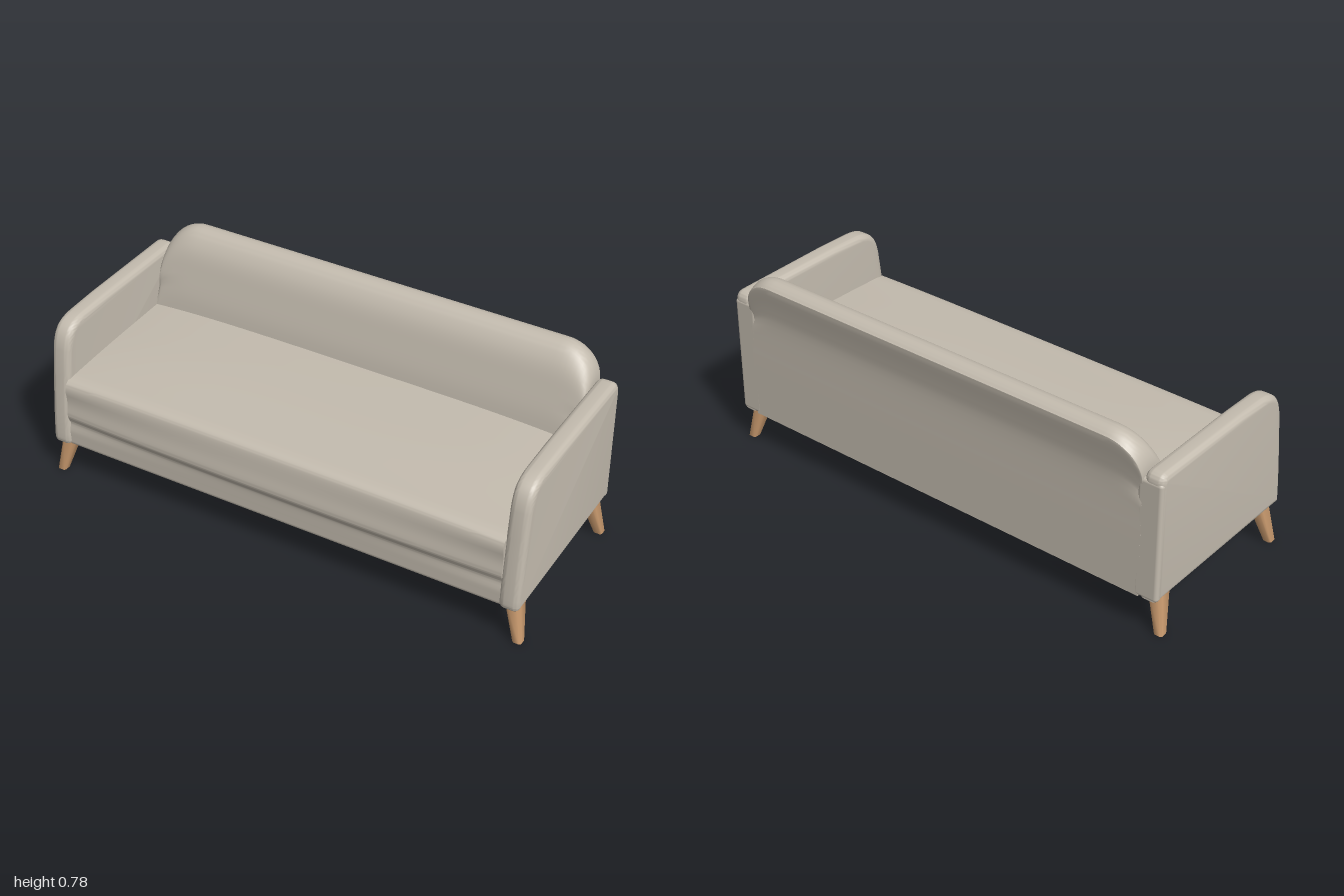
import * as THREE from 'three';
import { toCreasedNormals } from 'three/addons/utils/BufferGeometryUtils.js';
import { RoundedBoxGeometry } from 'three/addons/geometries/RoundedBoxGeometry.js';

const mat = (name, color) => {
  const m = new THREE.MeshStandardMaterial({ color });
  m.name = name;
  return m;
};

// Skin through closed rings; flat is the ring in 2D, used to cap both ends
function loft(rings, flat, crease) {
  const n = flat.length, last = (rings.length - 1) * n;
  const index = [];
  for (let i = 0; i < rings.length - 1; i++) {
    for (let j = 0; j < n; j++) {
      const a = i * n + j, b = i * n + (j + 1) % n;
      index.push(a, b, a + n, b, b + n, a + n);
    }
  }
  for (const [a, b, c] of THREE.ShapeUtils.triangulateShape(flat, [])) {
    index.push(c, b, a, last + a, last + b, last + c);
  }
  const g = new THREE.BufferGeometry().setFromPoints(rings.flat());
  g.setIndex(index);
  return toCreasedNormals(g, crease);
}

// Loft a [z, y] section along x; shape(x, z, y) gives the final [z, y]
function loftX(section, xs, shape) {
  const rings = xs.map(x => section.map(([z, y]) => {
    const [z2, y2] = shape(x, z, y);
    return new THREE.Vector3(x, y2, z2);
  }));
  return loft(rings, section.map(([z, y]) => new THREE.Vector2(y, z)), 0.8);
}

const smooth = (pts, count) => new THREE.SplineCurve(pts.map(p => new THREE.Vector2(...p)))
  .getPoints(count).map(p => [p.x, p.y]);

// Stations along x, closer together near the ends
const stations = (half, count) => Array.from({ length: count + 1 },
  (_, i) => half * Math.sin((i / count - 0.5) * Math.PI));

export function createModel() {
  const model = new THREE.Group();
  model.name = 'sofa';
  const fabric = mat('fabric', 0xc3bbae);
  const wood = mat('wood', 0xc99a6e);
  const lining = mat('lining', 0xe2d6ba);
  const webbing = mat('webbing', 0x2b2b2b);
  const steel = mat('steel', 0x504e4a);

  const add = (name, geometry, material, parent = model) => {
    const m = new THREE.Mesh(geometry, material);
    m.name = name;
    parent.add(m);
    return m;
  };
  const box = (name, w, h, d, x, y, z, material, parent) => {
    const m = add(name, new THREE.BoxGeometry(w, h, d), material, parent);
    m.position.set(x, y, z);
    return m;
  };

  // Backrest: leaning padded section with rounded top corners
  const backSection = [
    [-0.345, 0.15], [-0.373, 0.15],
    ...smooth([[-0.374, 0.4], [-0.374, 0.58], [-0.384, 0.66], [-0.402, 0.75], [-0.399, 0.765],
      [-0.378, 0.779], [-0.352, 0.783], [-0.32, 0.77], [-0.29, 0.735], [-0.268, 0.69],
      [-0.248, 0.62], [-0.225, 0.53], [-0.212, 0.45]], 48),
    [-0.23, 0.34], [-0.345, 0.34],
  ];
  const corner = 0.137, half = 0.909;
  add('backrest', loftX(backSection, stations(half, 60), (x, z, y) => {
    if (y < 0.46) return [z, y];
    const t = Math.max(0, (Math.abs(x) - (half - corner)) / corner);
    const drop = corner * (1 - Math.sqrt(Math.max(0, 1 - t * t)));
    const y2 = 0.46 + (y - 0.46) * (1 - drop / (0.783 - 0.46));
    // Slide along the lean only above the straight lower back
    const lean = 0.22 * (Math.max(y, 0.58) - Math.max(y2, 0.58));
    return [z + lean, y2];
  }), fabric);

  // Seat cover: crowned top, bulging front and an apron below a soft crease
  const seatSection = [
    [-0.3, 0.34], [-0.3, 0.458],
    ...smooth([[-0.2, 0.458], [0.1, 0.456], [0.3, 0.45], [0.352, 0.446], [0.378, 0.436],
      [0.389, 0.415], [0.397, 0.35], [0.404, 0.305], [0.403, 0.285], [0.395, 0.267],
      [0.389, 0.25], [0.387, 0.2], [0.386, 0.16]], 50),
    [0.38, 0.152], [0.372, 0.152], [0.372, 0.34],
  ];
  const bump = t => Math.max(0, 1 - t * t);
  add('seatCover', loftX(seatSection, stations(0.915, 40), (x, z, y) => {
    const u = Math.abs(x) / 0.915;
    const crown = 1 - Math.pow(u, 4);
    // Bulge flattens towards the arms, crown is lower at the front edge
    const bulge = z > 0.375 ? 0.013 * Math.pow(u, 2.5) * bump((y - 0.31) / 0.09) : 0;
    const rise = THREE.MathUtils.smoothstep(y, 0.37, 0.455)
      * (0.018 - 0.012 * THREE.MathUtils.smoothstep(z, 0, 0.38));
    return [z - bulge, y + rise * crown];
  }), fabric);
  box('apronLining', 1.82, 0.178, 0.006, 0, 0.246, 0.37, lining);

  // Arms: rounded side profile with soft edges
  const arm = new THREE.Shape();
  arm.moveTo(-0.372, 0.152);
  arm.lineTo(0.385, 0.152);
  arm.quadraticCurveTo(0.4, 0.152, 0.4, 0.18);
  arm.bezierCurveTo(0.396, 0.27, 0.382, 0.38, 0.373, 0.46);
  arm.lineTo(0.36, 0.56);
  arm.bezierCurveTo(0.346, 0.63, 0.32, 0.665, 0.24, 0.669);
  arm.lineTo(0.1, 0.673);
  arm.lineTo(-0.335, 0.67);
  arm.quadraticCurveTo(-0.372, 0.668, -0.372, 0.63);
  arm.closePath();
  const armGeo = toCreasedNormals(new THREE.ExtrudeGeometry(arm, {
    depth: 0.032, bevelThickness: 0.024, bevelSize: 0.024, bevelOffset: -0.024,
    bevelSegments: 6, curveSegments: 14,
  }).translate(0, 0, -0.016).rotateY(-Math.PI / 2), 0.7);

  // Legs: tapered and splayed, square with softened corners
  const legRing = (cx, y, cz, w, d) => Array.from({ length: 8 }, (_, i) => {
    const a = Math.floor(i / 2) * Math.PI / 2 + Math.PI / 4 + (i % 2 ? 0.2 : -0.2);
    const k = 0.5 / Math.cos(Math.PI / 4 - 0.2);
    return new THREE.Vector3(cx + Math.sin(a) * w * k, y, cz + Math.cos(a) * d * k);
  });
  const legGeo = (z0, z1) => {
    const foot = legRing(0.982, 0, z0, 0.035, 0.036);
    const top = legRing(0.943, 0.165, z1, 0.064, 0.064);
    return loft([foot, top], foot.map(p => new THREE.Vector2(p.z, p.x)), 1);
  };

  for (const [side, s] of [['left', 1], ['right', -1]]) {
    add(side + 'Arm', armGeo, fabric).position.x = s * 0.949;
    // Squarer rear corner where the back cover wraps the arm
    add(side + 'RearCorner', new RoundedBoxGeometry(0.1, 0.488, 0.034, 4, 0.014), fabric)
      .position.set(s * 0.937, 0.395, -0.3565);
    for (const [end, z0, z1] of [['Front', 0.362, 0.328], ['Rear', -0.332, -0.298]]) {
      // A half turn mirrors the splay and keeps the faces outward
      const leg = add(side + end + 'Leg', legGeo(s * z0, s * z1), wood);
      leg.rotation.y = s > 0 ? 0 : Math.PI;
    }
  }

  // Underside: lined frame, webbing, rails with clips and bent rods
  const under = new THREE.Group();
  under.name = 'underside';
  model.add(under);
  box('baseLining', 1.8, 0.006, 0.7, 0, 0.335, 0.02, lining, under);
  box('backLining', 1.8, 0.17, 0.006, 0, 0.25, -0.342, lining, under);
  for (const s of [1, -1]) {
    box('endFrame', 0.05, 0.07, 0.68, s * 0.887, 0.297, 0.02, lining, under);
  }
  box('webbingMat', 1.68, 0.008, 0.58, 0, 0.322, -0.03, webbing, under);
  for (let i = 0; i < 16; i++) {
    box('webbingStrap', 0.075, 0.006, 0.56, -0.795 + i * 0.106, 0.316, -0.03, webbing, under);
  }
  for (const z of [0.27, -0.32]) {
    box('rail', 1.72, 0.025, 0.022, 0, 0.315, z, steel, under);
    for (let i = 0; i < 12; i++) {
      box('clip', 0.02, 0.01, 0.03, -0.77 + i * 0.14, 0.3, z - Math.sign(z) * 0.01, lining, under);
    }
  }
  for (const x of [-0.27, 0.27]) {
    const path = new THREE.CatmullRomCurve3([
      [-0.31, 0.31], [-0.27, 0.285], [0, 0.275], [0.21, 0.285], [0.26, 0.31],
    ].map(([z, y]) => new THREE.Vector3(x, y, z)));
    add('bentRod', new THREE.TubeGeometry(path, 24, 0.009, 8), steel, under);
  }
  return model;
}
